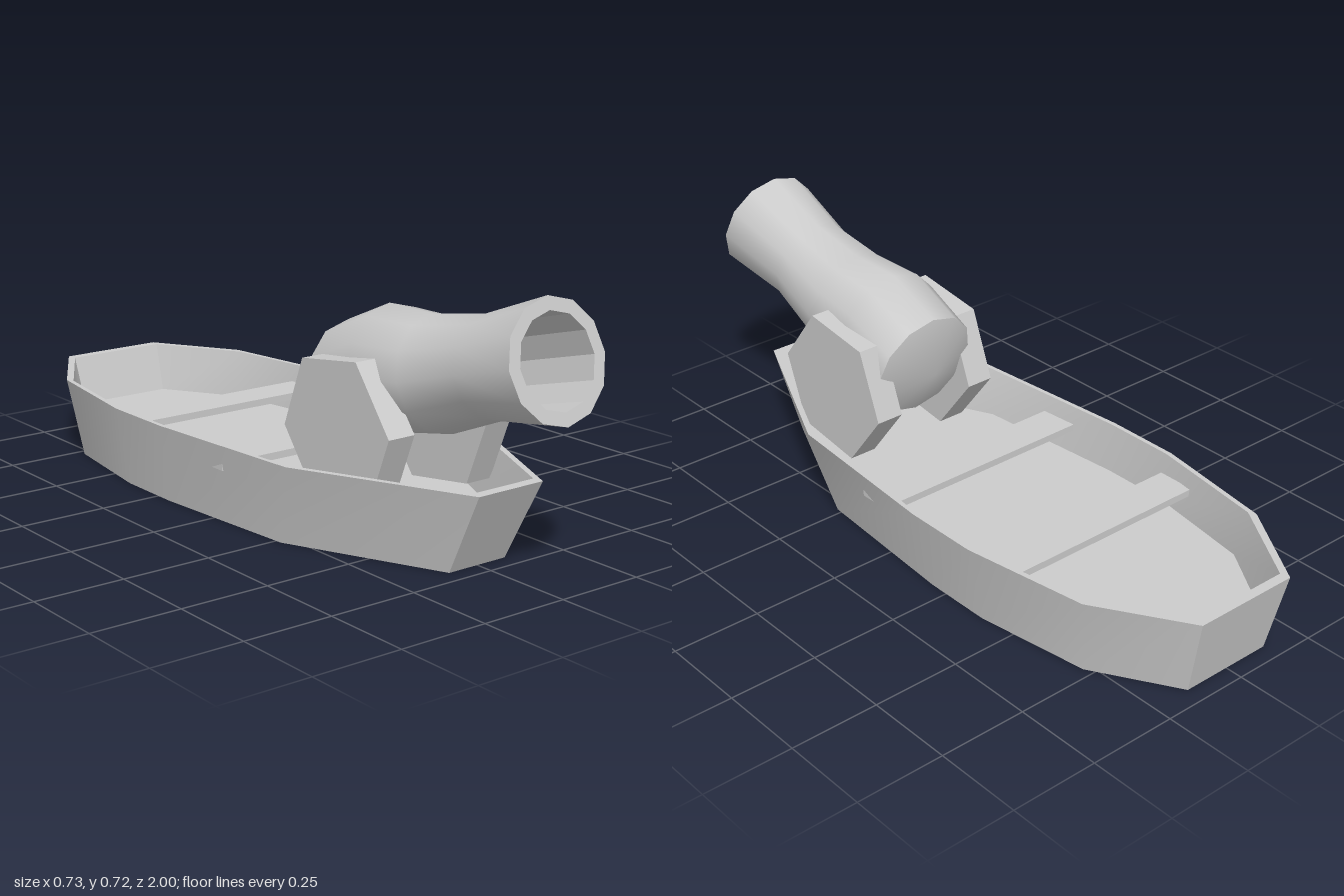
import * as THREE from 'three';
import { toCreasedNormals } from 'three/addons/utils/BufferGeometryUtils.js';

const grey = (flatShading = false) => new THREE.MeshStandardMaterial({ color: 0xcccccc, flatShading });

// Skin a sequence of closed rings; a ring of identical points closes an end.
function loft(rings, crease) {
  const pos = [];
  const tri = (a, b, c) => {
    if (a.equals(b) || b.equals(c) || c.equals(a)) return;
    for (const p of [a, b, c]) pos.push(p.x, p.y, p.z);
  };
  for (let i = 0; i < rings.length - 1; i++) {
    const n = rings[i].length;
    for (let j = 0; j < n; j++) {
      const k = (j + 1) % n;
      const [a, b, c, d] = [rings[i][j], rings[i][k], rings[i + 1][k], rings[i + 1][j]];
      tri(a, b, c);
      tri(a, c, d);
    }
  }
  const geo = new THREE.BufferGeometry();
  geo.setAttribute('position', new THREE.Float32BufferAttribute(pos, 3));
  geo.computeVertexNormals();
  return toCreasedNormals(geo, crease);
}

// Hull plan (x, z) for one side, bow to stern
const SIDE = [[0.105, 0.815], [0.325, 0.34], [0.365, -0.17], [0.365, -0.39], [0.31, -0.75], [0.155, -1]];
const PLAN = [...SIDE, ...SIDE.map(([x, z]) => [-x, z]).reverse()];

// Plan fitted to a width factor and a stern-to-bow range
const hullRing = (y, sx, stern, bow) => PLAN.map(([x, z]) =>
  new THREE.Vector3(x * sx, y, stern + ((z + 1) / 1.815) * (bow - stern)));

// Cannon sections: centre z, centre y, radius, from breech to muzzle
const TILT = 0.265;
const AXIS = new THREE.Vector3(0, Math.sin(TILT), Math.cos(TILT));
const UP = new THREE.Vector3(0, Math.cos(TILT), -Math.sin(TILT));
const SECTIONS = [[0.225, 0.38, 0.16], [0.395, 0.445, 0.168], [0.56, 0.462, 0.152], [0.74, 0.514, 0.131], [0.957, 0.572, 0.155]];
const cannonRing = ([z, y, r], push = 0) => Array.from({ length: 12 }, (_, i) => {
  const a = (i / 12) * Math.PI * 2;
  return new THREE.Vector3(r * Math.cos(a), y, z)
    .addScaledVector(UP, r * Math.sin(a)).addScaledVector(AXIS, push);
});

export function createModel() {
  const group = new THREE.Group();
  const add = (name, geometry, material = grey()) => {
    const mesh = new THREE.Mesh(geometry, material);
    mesh.name = name;
    group.add(mesh);
    return mesh;
  };

  // Hull: underside, outer wall, rim, inner wall and floor
  add('hull', loft([
    hullRing(0, 0, -0.1, -0.1),
    hullRing(0, 0.882, -0.95, 0.7),
    hullRing(0.227, 1, -1, 0.815),
    hullRing(0.227, 0.965, -0.972, 0.785),
    hullRing(0.09, 0.92, -0.93, 0.7),
    hullRing(0.09, 0, -0.1, -0.1),
  ], 0.6));

  // Two bench planks across the hull
  for (const [name, z] of [['rearBench', -0.44], ['middleBench', 0.022]]) {
    add(name, new THREE.BoxGeometry(0.67, 0.02, 0.113)).position.set(0, 0.165, z);
  }

  // Hexagonal cheeks holding the cannon; profile drawn as (-z, y)
  const hex = new THREE.Shape([[0.18, 0.283], [0.255, 0.475], [0.47, 0.505], [0.6, 0.335], [0.525, 0.145], [0.31, 0.115]]
    .map(([z, y]) => new THREE.Vector2(-z, y)));
  const cheekGeo = new THREE.ExtrudeGeometry(hex, { depth: 0.082, bevelEnabled: false });
  cheekGeo.rotateY(Math.PI / 2);
  add('leftCheek', cheekGeo).position.x = 0.119;
  add('rightCheek', cheekGeo).position.x = -0.207;

  // Barrel with a shallow domed breech
  const [breech] = SECTIONS;
  add('cannonBarrel', loft([
    cannonRing([breech[0], breech[1], 0], -0.05),
    ...SECTIONS.map((s) => cannonRing(s)),
  ], 0.75));

  // Muzzle lip and faceted bore
  add('cannonBore', loft([
    cannonRing(SECTIONS[4]),
    cannonRing([0.957, 0.572, 0.12]),
    cannonRing([0.74, 0.514, 0.119]),
    cannonRing([0.57, 0.465, 0.118]),
    cannonRing([0.57, 0.465, 0]),
  ], 0.1), grey(true));

  return group;
}
